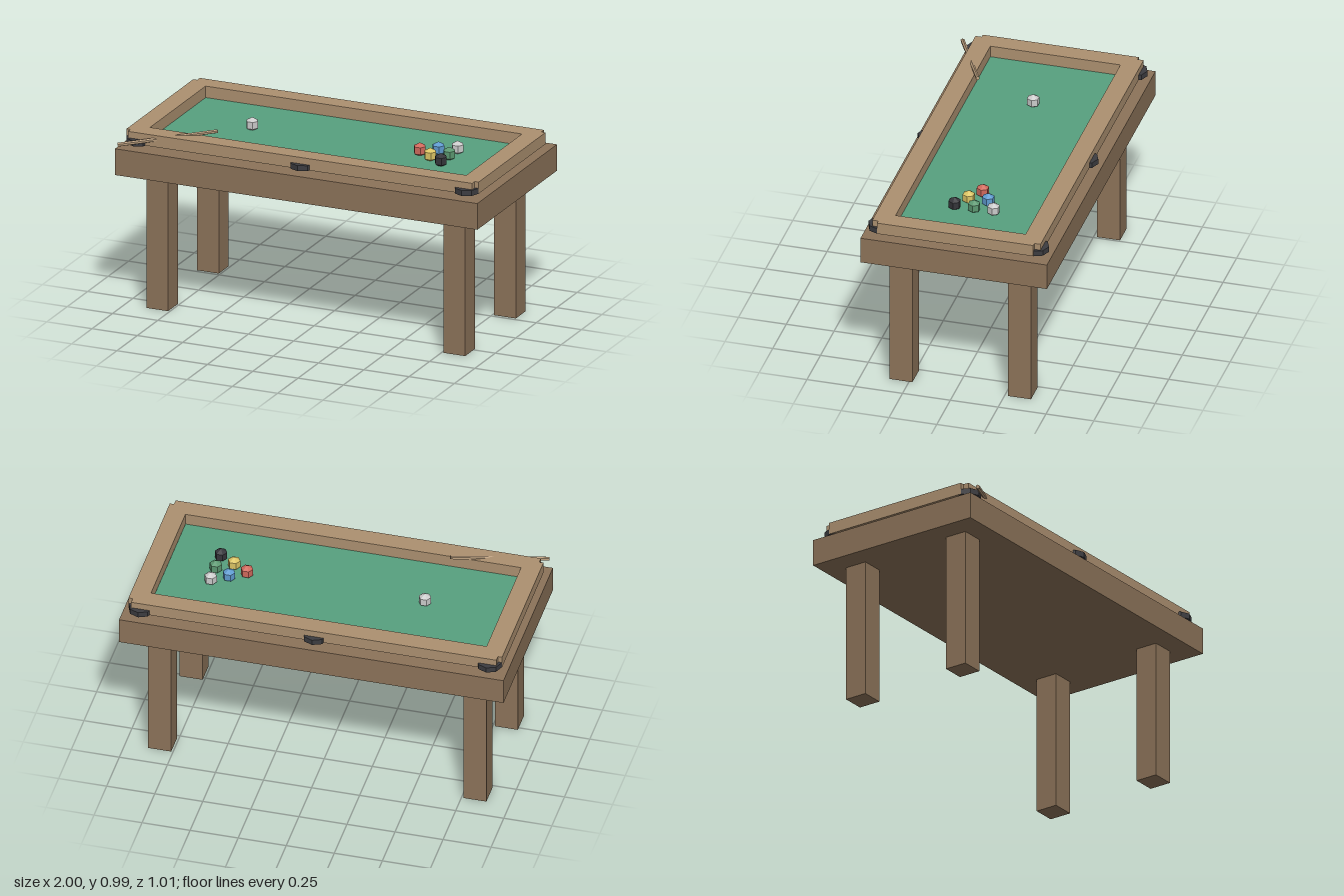
import * as THREE from 'three';

const mat = (color) => new THREE.MeshStandardMaterial({ color, flatShading: true });

export function createModel() {
  const model = new THREE.Group();
  const table = new THREE.Group();
  table.name = 'table';
  table.position.z = -0.0175;
  model.add(table);

  const wood = mat(0x8c7359), railWood = mat(0xac9070);
  const cloth = mat(0x57a07f), dark = mat(0x3c3c40);

  const add = (parent, name, geometry, material, x, y, z) => {
    const mesh = new THREE.Mesh(geometry, material);
    mesh.name = name;
    mesh.position.set(x, y, z);
    parent.add(mesh);
    return mesh;
  };

  // Table body and playing surface
  add(table, 'body', new THREE.BoxGeometry(2, 0.14, 0.975), wood, 0, 0.8, 0);
  add(table, 'felt', new THREE.BoxGeometry(1.745, 0.025, 0.74), cloth, 0, 0.8815, 0);

  // Legs
  const legGeo = new THREE.BoxGeometry(0.12, 0.73, 0.12);
  for (const x of [-0.82, 0.82])
    for (const z of [-0.31, 0.31]) add(table, 'leg', legGeo, wood, x, 0.365, z);

  // Rail frame with notched corners and a rectangular opening
  const [X, x, Z, z] = [0.972, 0.95, 0.44, 0.408];
  const outline = [[X, -z], [X, z], [x, z], [x, Z], [-x, Z], [-x, z],
    [-X, z], [-X, -z], [-x, -z], [-x, -Z], [x, -Z], [x, -z]];
  const frame = new THREE.Shape(outline.map((p) => new THREE.Vector2(...p)));
  const [hx, hz] = [0.873, 0.34];
  frame.holes.push(new THREE.Path(
    [[-hx, -hz], [-hx, hz], [hx, hz], [hx, -hz]].map((p) => new THREE.Vector2(...p))));
  const frameGeo = new THREE.ExtrudeGeometry(frame, { depth: 0.062, bevelEnabled: false });
  frameGeo.rotateX(-Math.PI / 2);
  add(table, 'railFrame', frameGeo, railWood, 0, 0.893, 0);

  // Six pockets tucked under the long rails
  const pocketGeo = new THREE.CylinderGeometry(0.065, 0.065, 0.029, 8);
  for (const px of [-0.906, 0, 0.906])
    for (const pz of [-0.407, 0.407]) add(table, 'pocket', pocketGeo, dark, px, 0.9065, pz);

  // Balls: a cue ball and a racked triangle
  const ballGeo = new THREE.SphereGeometry(0.037, 6, 3);
  const balls = [
    ['cueBall', 0xcccccc, -0.463, 0],
    ['redBall', 0xd0695c, 0.463, 0],
    ['blueBall', 0x5f9bd0, 0.543, -0.051],
    ['yellowBall', 0xdcc565, 0.543, 0.051],
    ['paleBall', 0xcccccc, 0.625, -0.102],
    ['greenBall', 0x5c9871, 0.625, 0],
    ['blackBall', 0x35353a, 0.625, 0.102],
  ];
  for (const [name, color, bx, bz] of balls)
    add(table, name, ballGeo, mat(color), bx, 0.923, bz);

  // Cue stick leaning over the front rail
  const a = new THREE.Vector3(-0.973, 0.904, 0.496);
  const b = new THREE.Vector3(-0.515, 0.976, 0.287);
  const cue = add(model, 'cueStick',
    new THREE.CylinderGeometry(0.01, 0.011, a.distanceTo(b), 6), mat(0xb89c7c), 0, 0, 0);
  cue.position.addVectors(a, b).multiplyScalar(0.5);
  cue.quaternion.setFromUnitVectors(new THREE.Vector3(0, 1, 0), b.clone().sub(a).normalize());

  return model;
}
